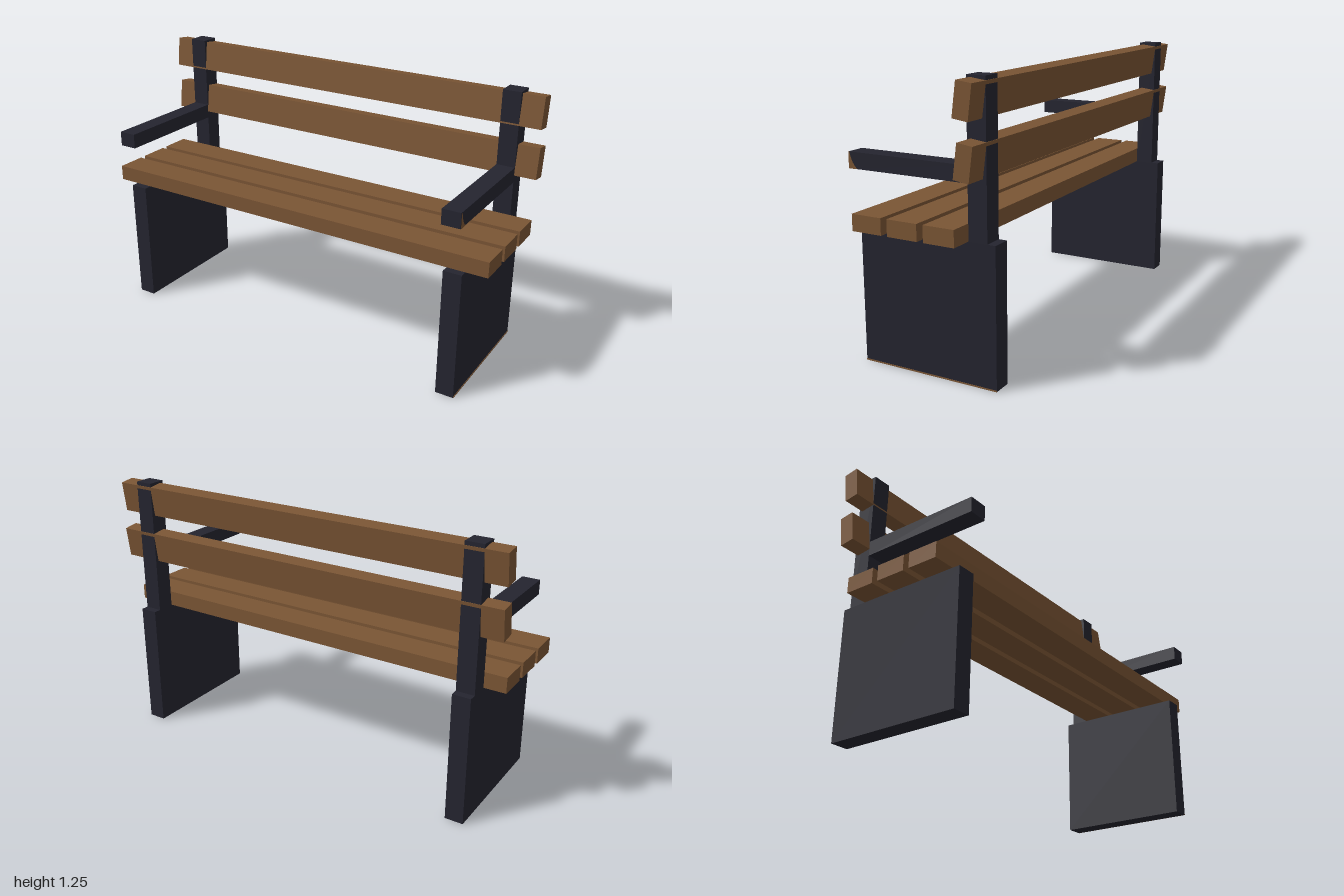
import * as THREE from 'three';

export function createModel() {
  const bench = new THREE.Group();
  bench.name = 'bench';

  const wood = new THREE.MeshStandardMaterial({ color: 0x7a5534 });
  wood.name = 'brown wood';
  const metal = new THREE.MeshStandardMaterial({ color: 0x24242f });
  metal.name = 'dark metal';

  // Box given by its ranges in x, y and z
  function box(name, material, [x0, x1], [y0, y1], [z0, z1], parent = bench) {
    const mesh = new THREE.Mesh(new THREE.BoxGeometry(x1 - x0, y1 - y0, z1 - z0), material);
    mesh.position.set((x0 + x1) / 2, (y0 + y1) / 2, (z0 + z1) / 2);
    mesh.name = name;
    parent.add(mesh);
    return mesh;
  }

  // Seat slats, front to back
  for (let i = 0; i < 3; i++) {
    const front = 0.261 - i * 0.1715;
    box('seatSlat', wood, [-1, 1], [0.601, 0.673], [front - 0.142, front]);
  }

  // Backrest slats, leaning back
  for (const y of [0.931, 1.161]) {
    const slat = box('backSlat', wood, [-1, 1], [y - 0.0715, y + 0.0715], [-0.303, -0.233]);
    slat.rotation.x = -0.13;
  }

  // End frames: leg panel, back post and armrest
  for (const side of [-1, 1]) {
    const frame = new THREE.Group();
    frame.name = side > 0 ? 'leftFrame' : 'rightFrame';
    bench.add(frame);
    const x = side > 0 ? [0.815, 0.9] : [-0.9, -0.815];
    box('legPanel', metal, x, [0, 0.601], [-0.346, 0.297], frame);
    box('backPost', metal, x, [0.601, 1.245], [-0.31, -0.225], frame);
    box('armrest', metal, x, [0.831, 0.901], [-0.225, 0.347], frame);
  }

  // Brown worn patch on the outer tip of the left armrest
  const patch = new THREE.Shape();
  patch.moveTo(-0.347, 0.831);
  patch.lineTo(-0.303, 0.831);
  patch.quadraticCurveTo(-0.33, 0.85, -0.342, 0.901);
  patch.lineTo(-0.347, 0.901);
  const tip = new THREE.Mesh(new THREE.ShapeGeometry(patch, 4), wood);
  tip.rotation.y = Math.PI / 2;
  tip.position.x = 0.902;
  tip.name = 'armrestPatch';
  bench.add(tip);

  // Brown worn strip along the foot of the left panel
  box('footStrip', wood, [0.9, 0.902], [0, 0.006], [-0.346, 0.297]);

  return bench;
}
